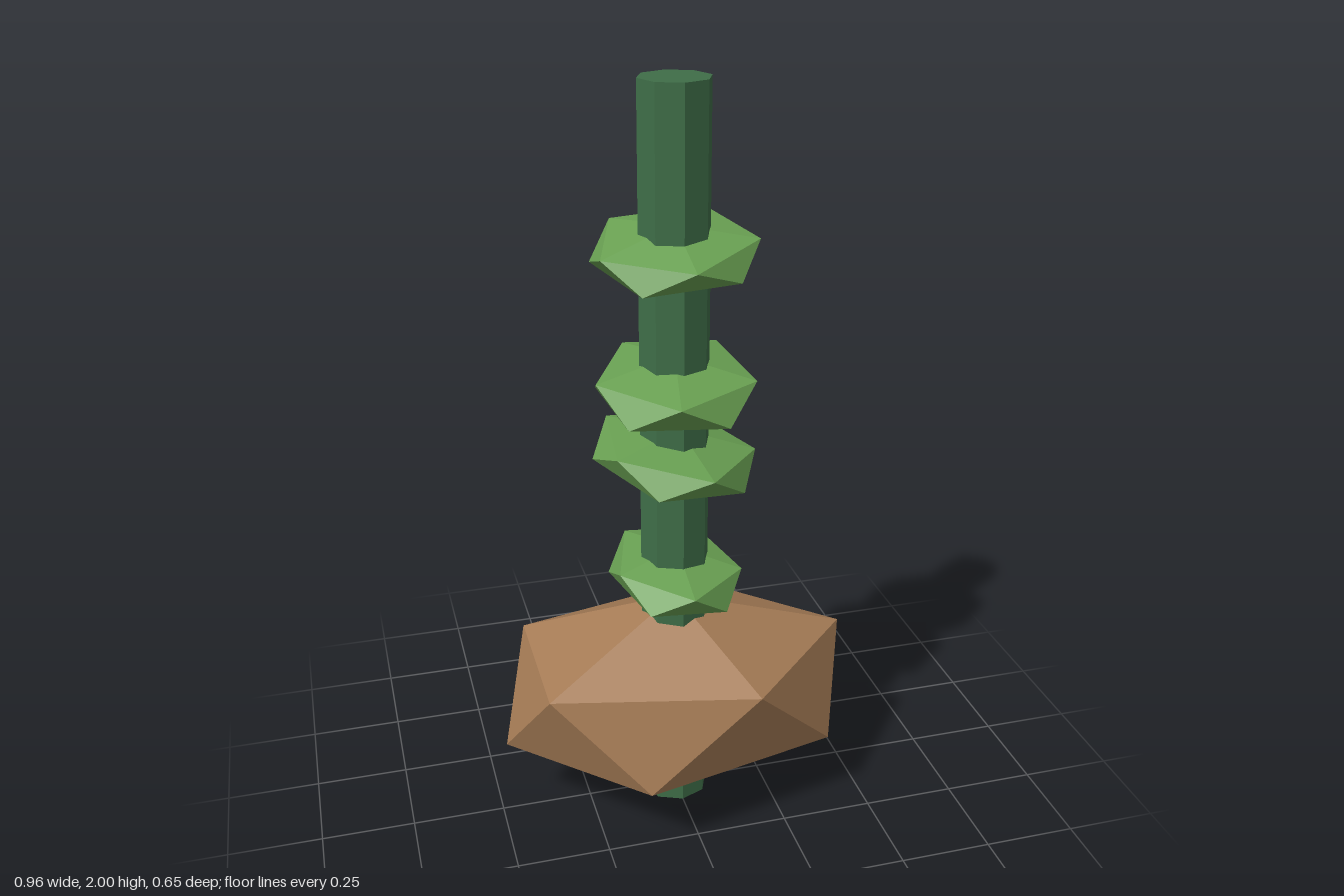
import * as THREE from 'three';

// Faceted 20-sided gem standing on its pole: two staggered rings of five.
// rx, rz are the ring radii, h is the ring height above and below the centre.
function gemGeometry(rx, h, rz) {
  const pole = h / 0.447;
  const ring = (k, y, offset) => {
    const a = (k + offset) * Math.PI * 2 / 5;
    return [rx * Math.cos(a), y, rz * Math.sin(a)];
  };
  const pos = [];
  for (let k = 0; k < 5; k++) {
    const u0 = ring(k, h, 0), u1 = ring(k + 1, h, 0);
    const l0 = ring(k, -h, 0.5), l1 = ring(k + 1, -h, 0.5);
    pos.push(...[0, pole, 0], ...u1, ...u0); // cap
    pos.push(...u0, ...u1, ...l0);           // band, pointing down
    pos.push(...u1, ...l1, ...l0);           // band, pointing up
    pos.push(...[0, -pole, 0], ...l0, ...l1); // base
  }
  const g = new THREE.BufferGeometry();
  g.setAttribute('position', new THREE.Float32BufferAttribute(pos, 3));
  g.computeVertexNormals();
  return g;
}

export function createModel() {
  const model = new THREE.Group();
  const material = (name, color) => {
    const m = new THREE.MeshStandardMaterial({ color });
    m.name = name;
    return m;
  };
  const stemGreen = material('stem green', 0x3f6e48);
  const leafGreen = material('leaf green', 0x69a052);
  const earthBrown = material('earth brown', 0xa67c56);

  const add = (name, geometry, mat, y) => {
    const mesh = new THREE.Mesh(geometry, mat);
    mesh.name = name;
    mesh.position.y = y;
    model.add(mesh);
    return mesh;
  };

  // Eight-sided stem running the full height
  const stem = new THREE.CylinderGeometry(0.092, 0.092, 2, 8).toNonIndexed();
  stem.computeVertexNormals();
  add('stem', stem, stemGreen, 1);

  // Root ball around the lower stem
  add('rootBall', gemGeometry(0.48, 0.125, 0.341), earthBrown, 0.34);

  // Leaf clusters: height, ring radii, ring height, yaw in degrees, tilts about x and z
  const leaves = [
    [0.695, 0.21, 0.175, 0.033, 91, 0.05, -0.07],
    [1.04, 0.21, 0.212, 0.033, 78, 0.1, -0.15],
    [1.235, 0.234, 0.212, 0.036, 101, 0.06, 0.01],
    [1.585, 0.187, 0.212, 0.031, 88, 0.2, 0.05],
  ];
  leaves.forEach(([y, r1, r2, h, yaw, tiltX, tiltZ], i) => {
    const leaf = add('leafCluster' + (i + 1), gemGeometry(r1, h, r2), leafGreen, y);
    leaf.rotation.set(tiltX, -THREE.MathUtils.degToRad(yaw), tiltZ, 'XZY');
  });

  return model;
}
